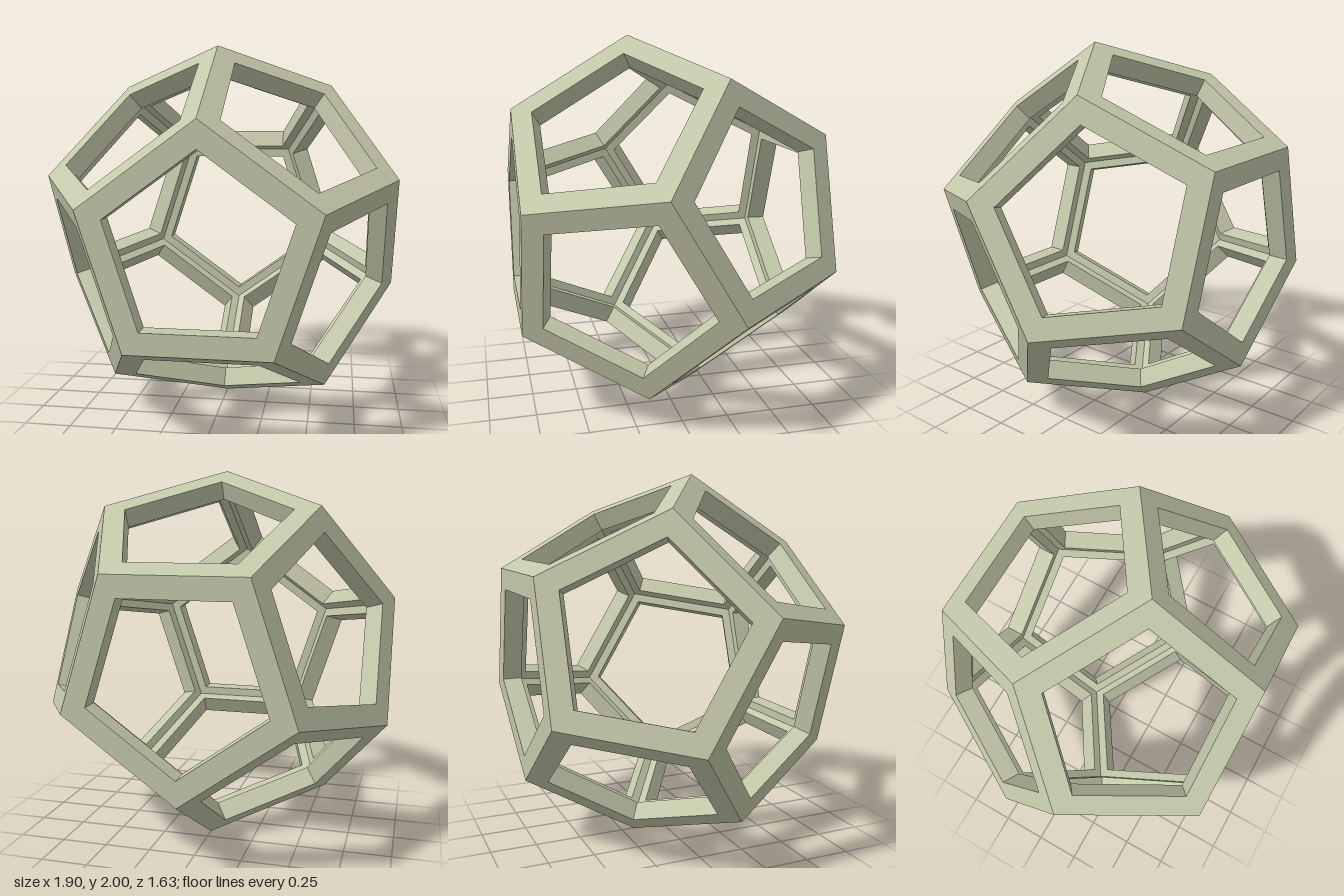
import * as THREE from 'three';

const R = 0.6165;                 // corner radius of one pentagon
const HOLE = 0.478;               // corner radius of its opening
const H = R * 1.30902;            // distance from centre to each face
const T = 0.105;                  // wall thickness
const TILT = Math.atan(2);        // angle between neighbouring face normals

// Pentagonal frame facing +y: outer border, opening wall, inner border
function frameGeometry(phiStart) {
  const profile = [
    [R, H],
    [HOLE, H],
    [HOLE, H - T],
    [R * (H - T) / H, H - T],
  ].map(([x, y]) => new THREE.Vector2(x, y));
  const geometry = new THREE.LatheGeometry(profile, 5, phiStart).toNonIndexed();
  geometry.computeVertexNormals();
  return geometry;
}

export function createModel() {
  const material = new THREE.MeshStandardMaterial({ color: 0xc4c8aa, flatShading: true });
  const capGeometry = frameGeometry(Math.PI);
  const sideGeometry = frameGeometry(0);

  // Half of the shell: one cap frame and the five frames around it
  function half(name) {
    const group = new THREE.Group();
    group.name = name;
    const cap = new THREE.Mesh(capGeometry, material);
    cap.name = 'capFrame';
    group.add(cap);
    for (let i = 0; i < 5; i++) {
      const side = new THREE.Mesh(sideGeometry, material);
      side.name = 'sideFrame' + (i + 1);
      side.rotation.set(TILT, i * Math.PI * 2 / 5, 0, 'YXZ');
      group.add(side);
    }
    return group;
  }

  const front = half('frontHalf');
  const back = half('backHalf');
  back.rotation.x = Math.PI;

  // Turn the front cap towards +z, leaning very slightly upward
  const shell = new THREE.Group();
  shell.name = 'dodecahedronFrame';
  shell.add(front, back);
  shell.rotation.x = Math.PI / 2 - 0.0125;
  shell.position.y = 1;

  const model = new THREE.Group();
  model.name = 'model';
  model.add(shell);
  return model;
}
